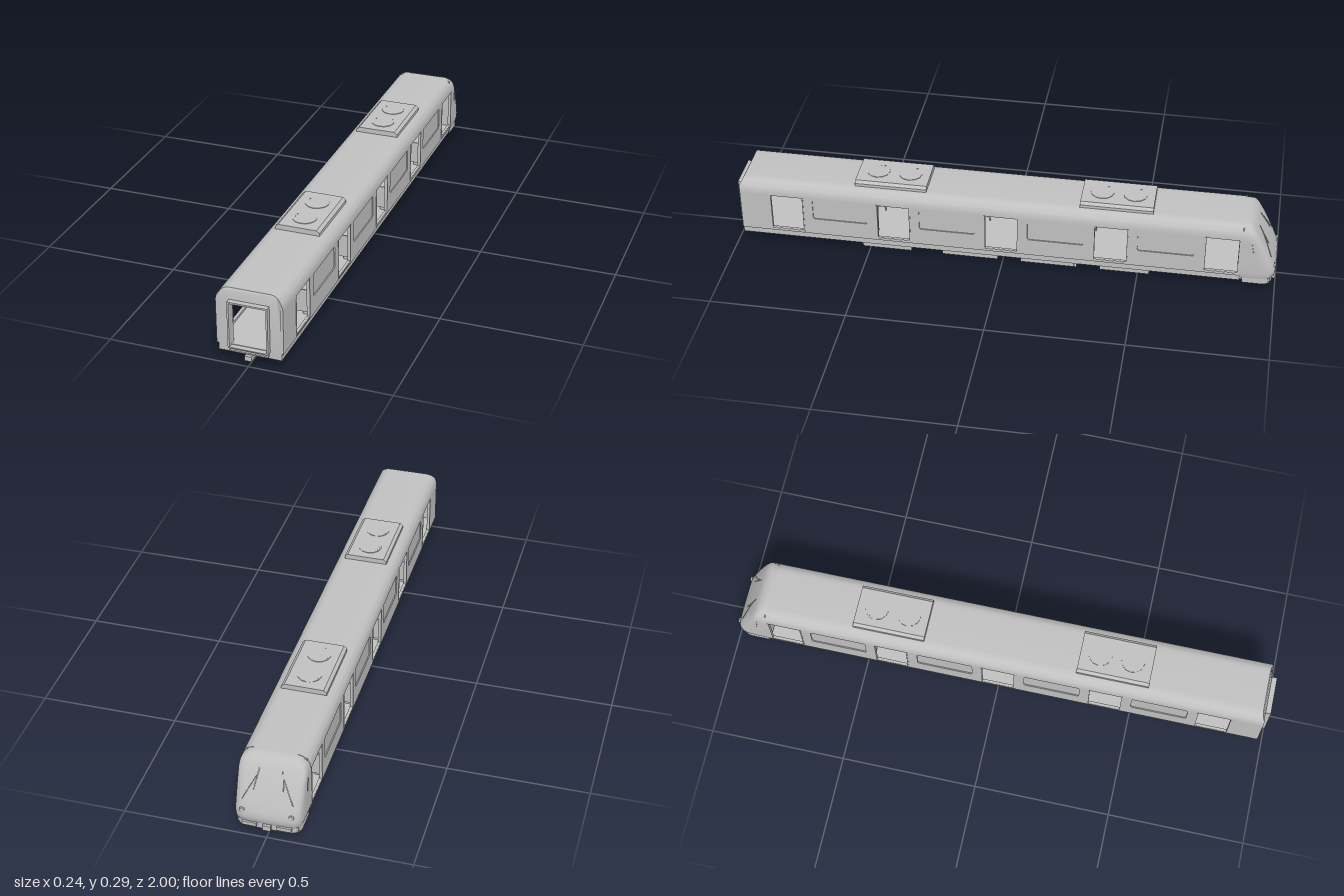
import * as THREE from 'three';
import { toCreasedNormals } from 'three/addons/utils/BufferGeometryUtils.js';

const DOORS = [0.804, 0.403, 0.002, -0.4, -0.802];
const WINDOWS = [0.603, 0.203, -0.198, -0.6];
const W = 0.118, CAB = -0.87, END = 0.98;

const grey = new THREE.MeshStandardMaterial({ color: 0xc0c0c0, side: THREE.DoubleSide });
grey.name = 'body grey';

function add(group, name, geometry, x = 0, y = 0, z = 0) {
  const m = new THREE.Mesh(geometry, grey);
  m.name = name;
  m.position.set(x, y, z);
  group.add(m);
  return m;
}

// Box given by its limits
function block(group, name, x0, x1, y0, y1, z0, z1) {
  return add(group, name, new THREE.BoxGeometry(x1 - x0, y1 - y0, z1 - z0),
    (x0 + x1) / 2, (y0 + y1) / 2, (z0 + z1) / 2);
}

function rod(group, name, a, b, r) {
  const path = new THREE.LineCurve3(new THREE.Vector3(...a), new THREE.Vector3(...b));
  return add(group, name, new THREE.TubeGeometry(path, 1, r, 8));
}

// Rounded rectangle as a shape or hole
function roundRect(Type, x0, x1, y0, y1, r) {
  const p = new Type();
  p.moveTo(x0 + r, y0);
  p.lineTo(x1 - r, y0); p.quadraticCurveTo(x1, y0, x1, y0 + r);
  p.lineTo(x1, y1 - r); p.quadraticCurveTo(x1, y1, x1 - r, y1);
  p.lineTo(x0 + r, y1); p.quadraticCurveTo(x0, y1, x0, y1 - r);
  p.lineTo(x0, y0 + r); p.quadraticCurveTo(x0, y0, x0 + r, y0);
  return p;
}

const extrude = (shape, depth) =>
  new THREE.ExtrudeGeometry(shape, { depth, bevelEnabled: false, curveSegments: 10 });

// Half of the roof arch, outset by d from the inner lining
function arch(p, d) {
  p.bezierCurveTo(W - d, 0.25, 0.1 - d, 0.27 - d, 0.07, 0.27 - d);
  p.lineTo(-0.07, 0.27 - d);
  p.bezierCurveTo(-0.1 + d, 0.27 - d, -W + d, 0.25, -W + d, 0.22);
}

// Cab outline: half width and nose depth by height
const CAB_ROWS = [
  [0.05, 0.114, -0.99], [0.062, 0.117, -0.997], [0.08, W, -0.999], [0.1, W, -0.994], [0.13, W, -0.981],
  [0.17, W, -0.962], [0.2, W, -0.946], [0.22, W, -0.934], [0.24, 0.1145, -0.922],
  [0.254, 0.106, -0.912], [0.264, 0.092, -0.9], [0.27, 0.07, -0.882],
];
const POWER = 0.3;

// Depth of the cab face at a given point
function faceZ(x, y) {
  let i = 0;
  while (i < CAB_ROWS.length - 2 && CAB_ROWS[i + 1][0] < y) i++;
  const [a, b] = [CAB_ROWS[i], CAB_ROWS[i + 1]];
  const t = (y - a[0]) / (b[0] - a[0]);
  const w = a[1] + (b[1] - a[1]) * t, n = a[2] + (b[2] - a[2]) * t;
  const c = Math.pow(Math.abs(x) / w, 1 / POWER);
  return CAB + (n - CAB) * Math.pow(1 - c * c, POWER / 2);
}

function cabGeometry() {
  const pos = [], index = [], N = 40;
  const ring = (y, w, n) => {
    for (let j = 0; j <= N; j++) {
      const t = (j / N) * Math.PI, c = Math.cos(t), s = Math.max(0, Math.sin(t));
      const edge = j === 0 || j === N;
      pos.push(w * Math.sign(c) * Math.pow(Math.abs(c), POWER), y,
        edge ? CAB : CAB + (n - CAB) * Math.pow(s, POWER));
    }
  };
  // Outer rows, closed by collapsed rings at bottom and top
  ring(0.05, 0, CAB);
  CAB_ROWS.forEach(r => ring(...r));
  ring(0.27, 0, CAB);
  for (let i = 0; i < CAB_ROWS.length + 1; i++) {
    for (let j = 0; j < N; j++) {
      const a = i * (N + 1) + j, b = a + N + 1;
      index.push(a, a + 1, b, b, a + 1, b + 1);
    }
  }
  const g = new THREE.BufferGeometry();
  g.setAttribute('position', new THREE.Float32BufferAttribute(pos, 3));
  g.setIndex(index);
  return toCreasedNormals(g, 0.6);
}

export function createModel() {
  const car = new THREE.Group();
  car.name = 'metroCar';

  // Side walls with door and window openings
  const wall = new THREE.Shape([[-END, 0.06], [-CAB, 0.06], [-CAB, 0.22], [-END, 0.22]]
    .map(p => new THREE.Vector2(...p)));
  for (const z of DOORS) wall.holes.push(roundRect(THREE.Path, -z - 0.059, -z + 0.059, 0.072, 0.215, 0.002));
  for (const z of WINDOWS) wall.holes.push(roundRect(THREE.Path, -z - 0.103, -z + 0.103, 0.128, 0.212, 0.01));
  const wallGeo = extrude(wall, 0.01).rotateY(Math.PI / 2);
  add(car, 'leftWall', wallGeo, W - 0.01);
  add(car, 'rightWall', wallGeo, -W);

  // Roof shell
  const roof = new THREE.Shape();
  roof.moveTo(W, 0.22);
  arch(roof, 0);
  const inner = new THREE.Path();
  inner.moveTo(W - 0.01, 0.22);
  arch(inner, 0.01);
  inner.getPoints(10).reverse().forEach(p => roof.lineTo(p.x, p.y));
  add(car, 'roof', toCreasedNormals(extrude(roof, 0.965 - CAB), 0.6), 0, 0, CAB);

  // Gangway end wall, leaning back above the cornice
  const end = new THREE.Shape();
  end.moveTo(-W, 0.06);
  end.lineTo(W, 0.06);
  end.lineTo(W, 0.22);
  arch(end, 0);
  end.lineTo(-W, 0.06);
  end.holes.push(roundRect(THREE.Path, -0.066, 0.066, 0.062, 0.227, 0.002));
  const endGeo = extrude(end, 0.02);
  const p = endGeo.attributes.position;
  for (let i = 0; i < p.count; i++) {
    if (p.getZ(i) > 0.01) p.setZ(i, 0.02 - Math.max(0, p.getY(i) - 0.25) * 0.6);
  }
  add(car, 'endWall', toCreasedNormals(endGeo, 0.4), 0, 0, END - 0.02);
  const frame = roundRect(THREE.Shape, -0.071, 0.071, 0.058, 0.232, 0.002);
  frame.holes.push(roundRect(THREE.Path, -0.065, 0.065, 0.062, 0.226, 0.002));
  add(car, 'gangwayFrame', extrude(frame, 0.019), 0, 0, END);
  block(car, 'gangwayStep', -0.068, 0.068, 0.045, 0.05, END, 0.995);

  // Floor, sole bar and cab bulkhead
  block(car, 'underframe', -0.111, 0.111, 0.035, 0.064, CAB, END);
  block(car, 'bulkhead', -0.108, 0.108, 0.064, 0.26, CAB - 0.004, CAB);
  block(car, 'bulkheadPanel', -0.06, 0.06, 0.064, 0.1, CAB, CAB + 0.01);
  for (const [z0, z1] of [[0.345, 0.53], [0.02, 0.227], [-0.275, -0.067], [-0.542, -0.36]]) {
    block(car, 'equipmentBox', -0.086, 0.086, 0.001, 0.036, z0, z1);
    for (const s of [-1, 1]) block(car, 'boxCover', s * 0.087 - 0.002, s * 0.087 + 0.002, 0.007, 0.03, z0 + 0.01, z1 - 0.01);
  }

  for (const s of [-1, 1]) {
    const side = new THREE.Group();
    side.name = s > 0 ? 'leftFittings' : 'rightFittings';
    car.add(side);
    const span = (name, a, b, ...rest) => block(side, name, Math.min(s * a, s * b), Math.max(s * a, s * b), ...rest);
    for (const z of WINDOWS) {
      span('windowPane', 0.109, 0.114, 0.126, 0.214, z - 0.106, z + 0.106);
      // Bench with end screens and poles
      span('seat', 0.068, 0.108, 0.092, 0.102, z - 0.125, z + 0.125);
      span('seatBase', 0.085, 0.108, 0.064, 0.092, z - 0.12, z + 0.12);
      span('seatBack', 0.1, 0.108, 0.102, 0.145, z - 0.125, z + 0.125);
      for (const e of [-1, 1]) {
        const ze = z + e * 0.13;
        span('seatScreen', 0.066, 0.108, 0.08, 0.165, ze - 0.002, ze + 0.002);
        rod(side, 'screenPole', [s * 0.064, 0.064, ze], [s * 0.058, 0.262, ze], 0.002);
      }
      rod(side, 'standPole', [s * 0.034, 0.064, z], [s * 0.034, 0.262, z], 0.002);
    }
    // Door frame lips
    for (const z of DOORS) {
      for (const e of [-1, 1]) span('doorPost', 0.116, 0.1195, 0.066, 0.218, z + e * 0.061 - 0.002, z + e * 0.061 + 0.002);
      span('doorSill', 0.11, 0.1195, 0.066, 0.071, z - 0.063, z + 0.063);
    }
  }

  // Roof cooling units with perforated fan covers
  const unit = new THREE.Shape([[-0.081, 0.266], [0.081, 0.266], [0.081, 0.28], [0.07, 0.289], [-0.07, 0.289], [-0.081, 0.28]]
    .map(q => new THREE.Vector2(...q)));
  const cover = new THREE.Shape().absarc(0, 0, 0.043, 0, Math.PI * 2);
  for (let i = -4; i <= 4; i++) {
    for (let j = -4; j <= 4; j++) {
      const x = (i + (j % 2 ? 0.5 : 0)) * 0.0105, y = j * 0.0091;
      if (Math.hypot(x, y) < 0.038) cover.holes.push(new THREE.Path().absarc(x, y, 0.004, 0, Math.PI * 2));
    }
  }
  const coverGeo = new THREE.ExtrudeGeometry(cover, { depth: 0.002, bevelEnabled: false, curveSegments: 6 }).rotateX(-Math.PI / 2);
  for (const z of [0.417, -0.413]) {
    add(car, 'coolingUnit', extrude(unit, 0.266), 0, 0, z - 0.133);
    for (const e of [-1, 1]) add(car, 'fanCover', coverGeo, 0, 0.289, z + e * 0.06);
  }

  // Raked cab with lower apron
  add(car, 'cab', cabGeometry());
  const apron = new THREE.Shape();
  apron.moveTo(-0.112, 0.88);
  apron.lineTo(-0.112, 0.95);
  apron.quadraticCurveTo(-0.11, 0.985, -0.07, 0.988);
  apron.lineTo(0.07, 0.988);
  apron.quadraticCurveTo(0.11, 0.985, 0.112, 0.95);
  apron.lineTo(0.112, 0.88);
  apron.holes.push(roundRect(THREE.Path, -0.1, 0.1, 0.89, 0.975, 0.01));
  add(car, 'apron', toCreasedNormals(extrude(apron, 0.026).rotateX(-Math.PI / 2), 0.6), 0, 0.027, 0);
  block(car, 'cabFloor', -0.105, 0.105, 0.036, 0.052, -0.98, CAB);

  for (const s of [-1, 1]) {
    const at = (x, y) => [s * x, y, faceZ(x, y) - 0.002];
    rod(car, 'wiperArm', at(0.088, 0.135), at(0.045, 0.215), 0.0014);
    rod(car, 'wiperBlade', at(0.052, 0.17), at(0.04, 0.235), 0.0014);
    const lamp = add(car, 'headlight', new THREE.CylinderGeometry(0.009, 0.009, 0.006, 16), ...at(0.085, 0.1));
    lamp.rotation.x = Math.PI / 2;
    block(car, 'bumper', s * 0.06 - 0.025, s * 0.06 + 0.025, 0.04, 0.054, -0.999, -0.98);
    rod(car, 'cabHandrail', [s * 0.1185, 0.16, -0.915], [s * 0.1185, 0.21, -0.905], 0.0012);
  }

  // Couplers at both ends
  block(car, 'frontCoupler', -0.012, 0.012, 0.022, 0.04, 0.965, 1);
  block(car, 'rearCoupler', -0.014, 0.014, 0.03, 0.05, -1, -0.96);
  return car;
}
